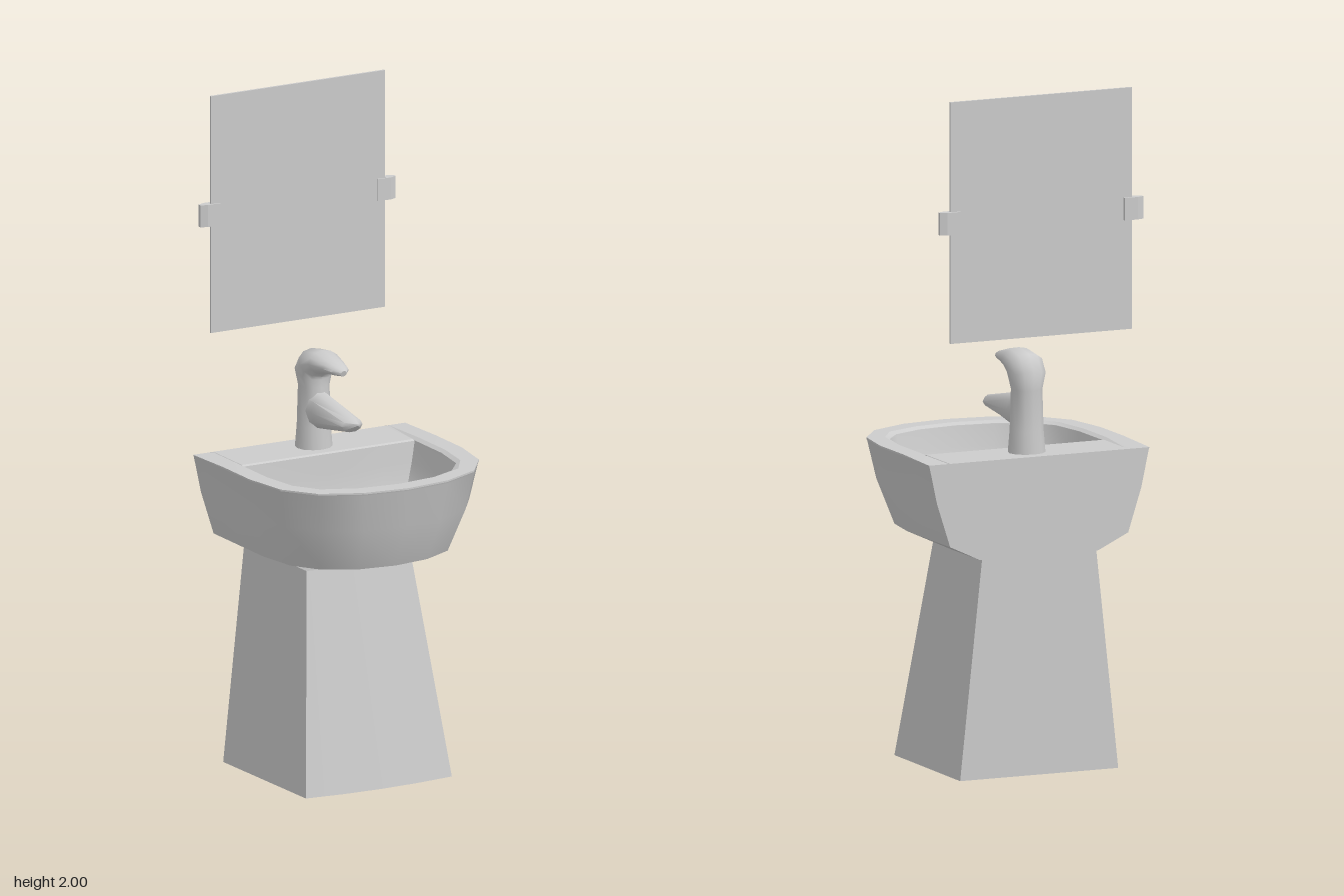
import * as THREE from 'three';
import { toCreasedNormals } from 'three/addons/utils/BufferGeometryUtils.js';

const grey = new THREE.MeshStandardMaterial({ color: 0xcccccc, side: THREE.DoubleSide });
const BACK = -0.31;   // wall plane
const DECK = -0.135;  // front edge of the tap deck

// Skin a list of equally long point rows; faces look along (row direction x point direction).
function loft(rings, closed = false, crease = 0.6) {
  const n = rings[0].length, index = [];
  for (let i = 0; i < rings.length - 1; i++) {
    for (let j = 0; j < (closed ? n : n - 1); j++) {
      const k = (j + 1) % n;
      const a = i * n + j, b = i * n + k, c = b + n, d = a + n;
      index.push(a, d, c, a, c, b);
    }
  }
  const geo = new THREE.BufferGeometry();
  geo.setAttribute('position', new THREE.Float32BufferAttribute(rings.flat(2), 3));
  geo.setIndex(index);
  return toCreasedNormals(geo, crease);
}

function add(parent, name, geometry) {
  const mesh = new THREE.Mesh(geometry, grey);
  mesh.name = name;
  parent.add(mesh);
  return mesh;
}

// Mirror a half outline of [x, z] (ending on x = 0) into a full one, left to right.
const mirror = half => [...half, ...half.slice(0, -1).reverse().map(([x, z]) => [-x, z])];

function createBasin() {
  const basin = new THREE.Group();
  basin.name = 'basin';
  const outline = mirror([[0.353, BACK], [0.353, DECK], [0.353, 0.02], [0.33, 0.16], [0.26, 0.255], [0.14, 0.312], [0, 0.33]]);
  const rimEdge = mirror([[0.298, BACK], [0.298, DECK], [0.298, 0.02], [0.28, 0.14], [0.23, 0.215], [0.125, 0.26], [0, 0.275]]);
  const opening = mirror([[0.285, BACK], [0.285, DECK], [0.285, 0.02], [0.266, 0.14], [0.215, 0.203], [0.12, 0.245], [0, 0.26]]);
  const at = (points, y, backY = y) => points.map(([x, z]) => [x, z === BACK ? backY : y, z]);

  // Outer shell: [height, half width, front z]
  const shell = [[0.62, 0, -0.1], [0.645, 0.19, 0.06], [0.69, 0.285, 0.255], [0.82, 0.327, 0.31], [0.93, 0.351, 0.328], [0.935, 0.353, 0.33]]
    .map(([y, w, front]) => outline.map(([x, z]) =>
      [x * w / 0.353, y, BACK + (z - BACK) * (front - BACK) / (0.33 - BACK)]));
  add(basin, 'shell', loft(shell, false, 0.75));
  add(basin, 'backPanel', loft([shell.map(r => r[0]), shell.map(r => r[r.length - 1])]));

  // Rim and the flat deck that carries the tap
  add(basin, 'rim', loft([at(outline, 0.935), at(outline, 0.94, 0.935), at(rimEdge, 0.94, 0.935), at(opening, 0.933, 0.933)], false, 0.3));
  add(basin, 'deck', loft([BACK, DECK - 0.01, DECK].map((z, i) =>
    [[-0.285, i === 2 ? 0.93 : 0.935, z], [0.285, i === 2 ? 0.93 : 0.935, z]]), false, 0.2));

  // Bowl: the opening blends down into the round drain
  const mouth = [...opening.slice(1, -1), ...[-0.19, -0.095, 0, 0.095, 0.19].map(x => [x, DECK])];
  const bowl = [[0, 0.932], [0.06, 0.87], [0.15, 0.8], [0.3, 0.75], [0.55, 0.72], [0.8, 0.71], [1, 0.705]]
    .map(([t, y]) => mouth.map(([x, z]) => {
      const r = Math.hypot(x, z - 0.01);
      const cx = 0.053 * x / r, cz = 0.01 + 0.053 * (z - 0.01) / r;
      return [x + (cx - x) * t, y, z + (cz - z) * t];
    }));
  add(basin, 'bowl', loft(bowl, true, 1));
  const drain = add(basin, 'drain', new THREE.CircleGeometry(0.053, 10).rotateX(-Math.PI / 2));
  drain.position.set(0, 0.706, 0.01);
  return basin;
}

// Hollow tapered column, its front slightly bowed
function createPedestal() {
  const ring = (y, backW, frontW, corner, front) => [
    [backW, y, BACK], [frontW, y, corner], [frontW / 2, y, (corner + 3 * front) / 4], [0, y, front],
    [-frontW / 2, y, (corner + 3 * front) / 4], [-frontW, y, corner], [-backW, y, BACK]];
  return loft([ring(0, 0.253, 0.243, 0.155, 0.172), ring(0.645, 0.183, 0.174, 0.038, 0.048)], true, 0.5);
}

// Elliptical tube through sections [z, y, heading in degrees, half width, half thickness]
function ellipseTube(sections, sides = 12) {
  const rings = sections.map(([z, y, deg, rx, ry]) => {
    const a = THREE.MathUtils.degToRad(deg);
    return Array.from({ length: sides }, (_, j) => {
      const p = j / sides * Math.PI * 2, s = -ry * Math.sin(p);
      return [rx * Math.cos(p), y + s * Math.cos(a), z - s * Math.sin(a)];
    });
  });
  const [z, y] = sections[sections.length - 1];
  rings.push(rings[0].map(() => [0, y, z]));
  return loft(rings, true, 0.9);
}

function createTap() {
  const tap = new THREE.Group();
  tap.name = 'tap';
  // Upright body bending forward into the beak-shaped lever
  add(tap, 'bodyAndLever', ellipseTube([
    [-0.225, 0.93, 90, 0.056, 0.052], [-0.225, 1.0, 90, 0.05, 0.047], [-0.225, 1.12, 90, 0.046, 0.045],
    [-0.228, 1.16, 70, 0.056, 0.05], [-0.21, 1.188, 40, 0.057, 0.047], [-0.165, 1.2, 10, 0.051, 0.034],
    [-0.11, 1.198, -12, 0.038, 0.022], [-0.07, 1.195, -14, 0.028, 0.014], [-0.05, 1.192, -14, 0.01, 0.009]]));
  add(tap, 'spout', ellipseTube([
    [-0.215, 1.05, 0, 0.042, 0.06], [-0.17, 1.052, 0, 0.04, 0.053], [0.0, 1.049, 0, 0.034, 0.02], [0.035, 1.058, 0, 0.003, 0.003]], 10));
  return tap;
}

function createMirror() {
  const group = new THREE.Group();
  group.name = 'wallMirror';
  const panel = add(group, 'mirrorPanel', new THREE.BoxGeometry(0.58, 0.71, 0.007));
  panel.position.set(0, 1.645, -0.32);
  // C-shaped clips gripping both edges
  const profile = [[0.262, 0.335], [0.305, 0.335], [0.325, 0.327], [0.325, 0.316], [0.305, 0.308],
    [0.262, 0.308], [0.262, 0.313], [0.291, 0.313], [0.291, 0.327], [0.262, 0.327]];
  for (const side of [1, -1]) {
    const shape = new THREE.Shape(profile.map(([x, z]) => new THREE.Vector2(side * x, z)));
    const geo = new THREE.ExtrudeGeometry(shape, { depth: 0.066, bevelEnabled: false }).rotateX(-Math.PI / 2);
    add(group, side > 0 ? 'leftClip' : 'rightClip', geo).position.y = 1.612;
  }
  return group;
}

export function createModel() {
  const model = new THREE.Group();
  model.name = 'washbasinWithMirror';
  model.add(createBasin(), createTap(), createMirror());
  add(model, 'pedestal', createPedestal());
  return model;
}
